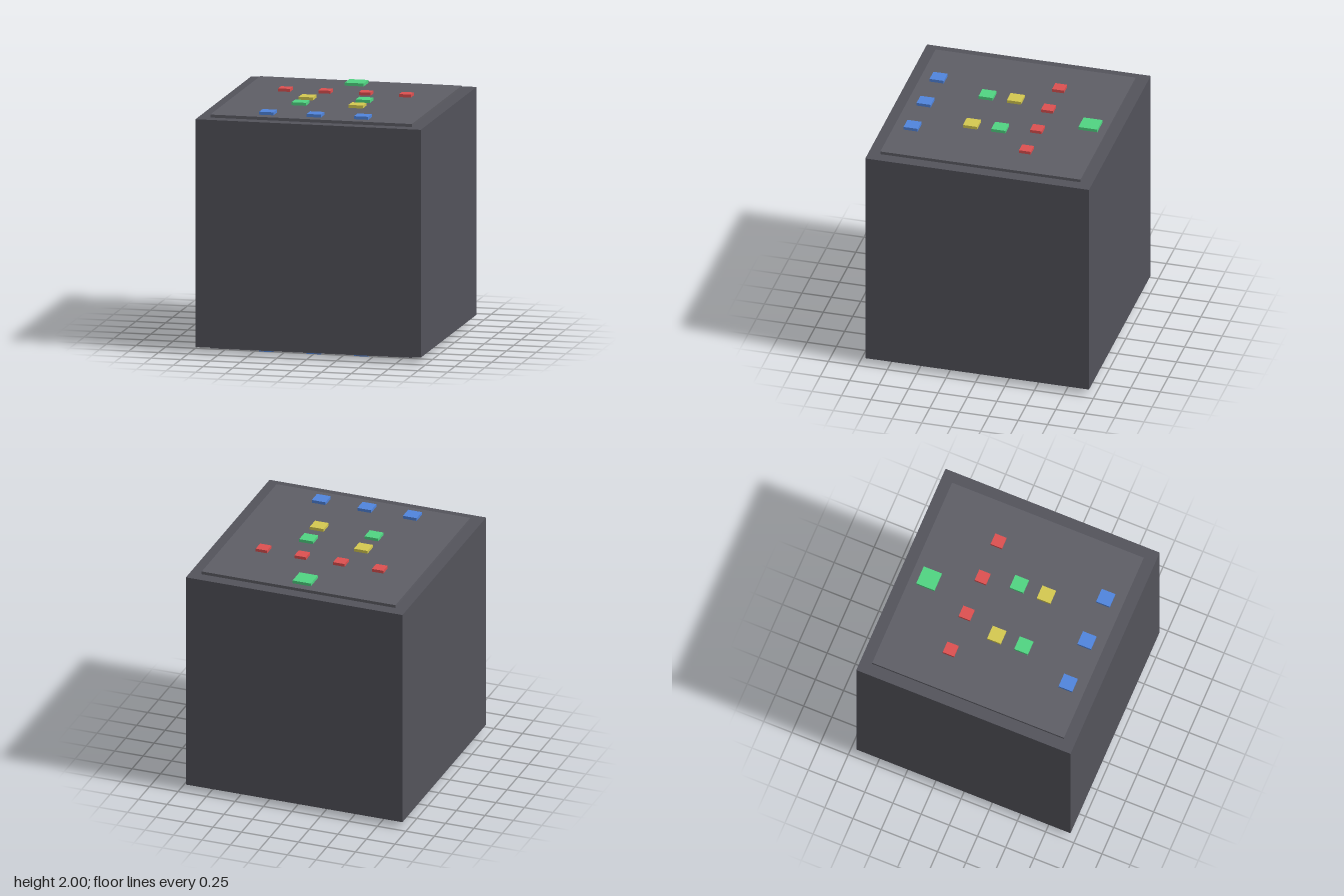
import * as THREE from 'three';

const mat = (color) => new THREE.MeshStandardMaterial({ color });

export function createModel() {
  const model = new THREE.Group();
  const bodyMat = mat(0x53535b);
  const panelMat = mat(0x5e5e66);
  const red = mat(0xdd5050);
  const green = mat(0x50d482);
  const blue = mat(0x5085dd);
  const yellow = mat(0xd4c850);

  const addBox = (parent, name, material, w, h, d, x, y, z) => {
    const mesh = new THREE.Mesh(new THREE.BoxGeometry(w, h, d), material);
    mesh.name = name;
    mesh.position.set(x, y, z);
    parent.add(mesh);
  };

  // Main cube
  addBox(model, 'body', bodyMat, 1.9, 1.9, 1.9, 0, 1, 0);

  // Square buttons: name, material, size, x, z
  const buttons = [['largeButton', green, 0.16, 0, -0.7]];
  for (let i = 0; i < 4; i++) buttons.push(['redButton', red, 0.1, -0.5 + i * 0.34, -0.3]);
  for (const s of [-1, 1]) {
    buttons.push(['yellowButton', yellow, 0.12, s * 0.24, s < 0 ? 0 : 0.24]);
    buttons.push(['greenButton', green, 0.12, s * 0.24, s < 0 ? 0.24 : 0]);
  }
  for (const x of [-0.4, 0, 0.4]) buttons.push(['blueButton', blue, 0.12, x, 0.7]);

  // The same raised panel and buttons on the top and, mirrored, on the bottom
  for (const s of [1, -1]) {
    const side = new THREE.Group();
    side.name = s > 0 ? 'topControls' : 'bottomControls';
    addBox(side, 'panel', panelMat, 1.7, 0.025, 1.7, 0, 1 + s * 0.9625, 0);
    for (const [name, material, size, x, z] of buttons) {
      addBox(side, name, material, size, 0.025, size, x, 1 + s * 0.9875, z);
    }
    model.add(side);
  }
  return model;
}
